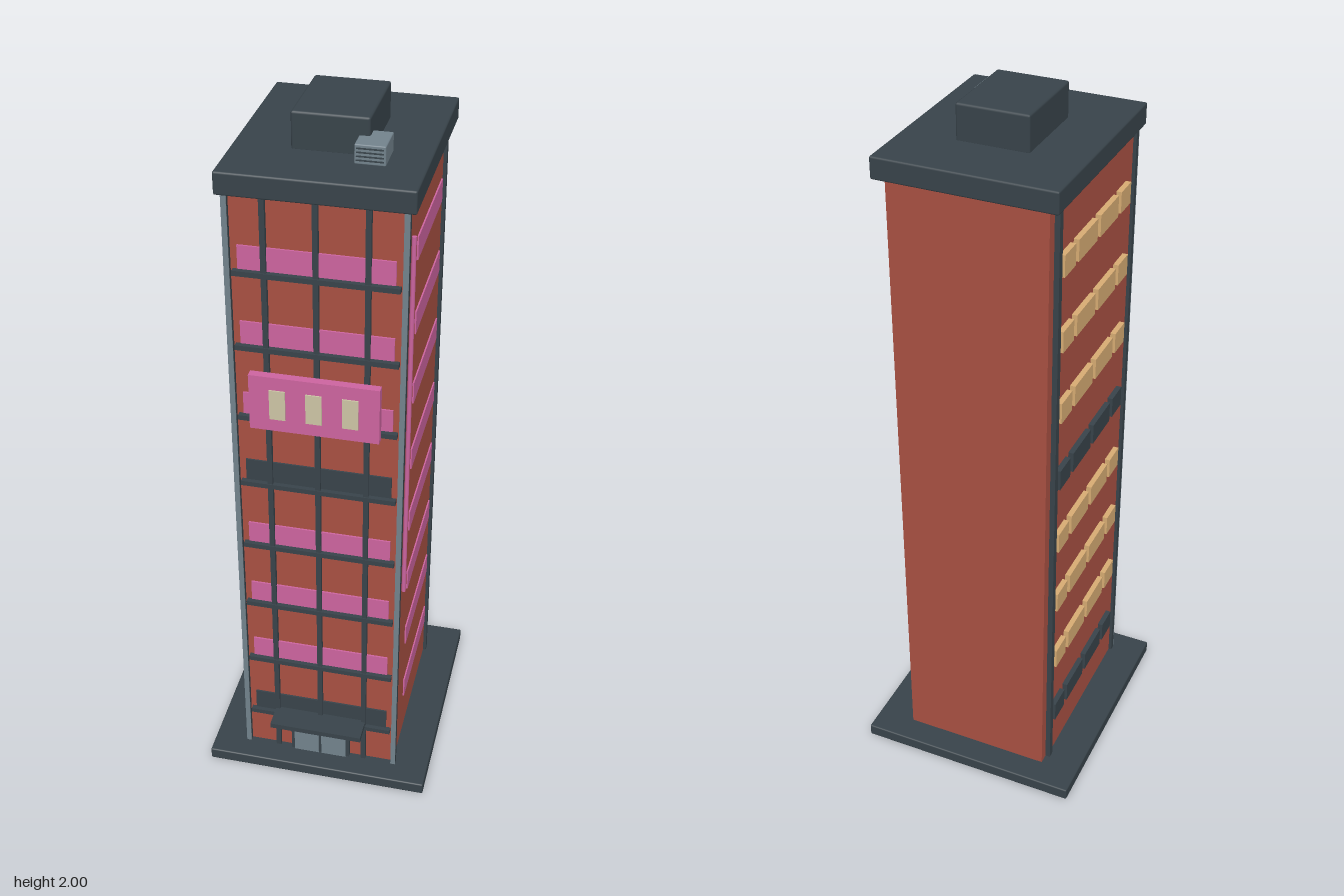
import * as THREE from 'three';
import { RoundedBoxGeometry } from 'three/addons/geometries/RoundedBoxGeometry.js';

const mat = (name, color) => Object.assign(new THREE.MeshStandardMaterial({ color }), { name });

export function createModel() {
  const brick = mat('brick', 0xa85042);
  const dark = mat('dark slate', 0x38434a);
  const pink = mat('pink glass', 0xcc649f);
  const steel = mat('steel', 0x72828c);
  const amber = mat('amber glass', 0xd6ab72);
  const cream = mat('cream', 0xccc4a4);

  const model = new THREE.Group();
  model.name = 'tower';

  // Box given by its limits on each axis; a bevel softens the big slabs
  function box(name, material, [x0, x1], [y0, y1], [z0, z1], bevel = 0) {
    const size = [x1 - x0, y1 - y0, z1 - z0];
    const geo = bevel ? new RoundedBoxGeometry(...size, 1, bevel) : new THREE.BoxGeometry(...size);
    const mesh = new THREE.Mesh(geo, material);
    mesh.name = name;
    mesh.position.set((x0 + x1) / 2, (y0 + y1) / 2, (z0 + z1) / 2);
    model.add(mesh);
    return mesh;
  }
  const around = (c, w) => [c - w / 2, c + w / 2];

  // Plinth, shaft and roof
  box('plinth', dark, [-0.325, 0.325], [0, 0.036], [-0.35, 0.35], 0.004);
  box('shaft', brick, [-0.22, 0.22], [0.03, 1.85], [-0.24, 0.272]);
  box('backWall', brick, [-0.215, 0.215], [0.03, 1.85], [-0.275, -0.24]);
  box('roofSlab', dark, [-0.245, 0.245], [1.845, 1.905], [-0.295, 0.293], 0.005);
  box('penthouse', dark, [-0.098, 0.098], [1.9, 2.0], [-0.125, 0.122], 0.006);

  // Rooftop air conditioner with slats
  box('airConditioner', steel, [0.07, 0.147], [1.905, 1.955], [0.083, 0.176], 0.003);
  for (let i = 0; i < 4; i++) {
    box('airConditionerSlat', dark, [0.075, 0.142], around(1.916 + i * 0.01, 0.003), [0.175, 0.179]);
  }

  // Corner posts, steel edged at the front
  for (const s of [-1, 1]) {
    const x = around(s * 0.222, 0.014);
    box('frontPost', dark, x, [0.03, 1.85], [0.268, 0.284]);
    box('frontPostEdge', steel, x, [0.036, 1.845], [0.284, 0.287]);
    box('backPost', dark, x, [0.03, 1.85], [-0.246, -0.227]);
  }

  // Front mullions
  for (const x of [-0.13, 0, 0.13]) {
    box('mullion', dark, around(x, 0.014), [0.036, 1.845], [0.27, 0.284]);
  }

  // Floors: front ledge and window band, then both side walls
  for (let floor = 0; floor < 8; floor++) {
    const y = 0.205 + floor * 0.2107;
    const band = around(y, 0.064);
    const unlit = floor === 0 || floor === 4;
    box('ledge', dark, [-0.21, 0.21], around(y - 0.041, 0.014), [0.27, 0.287]);
    box('frontWindow', unlit ? dark : pink, [-0.197, 0.197], band, [0.27, 0.277]);
    box('rightBand', pink, [0.218, 0.224], band, [-0.21, 0.135]);
    for (const [z0, z1] of [[-0.225, -0.155], [-0.135, -0.01], [0.01, 0.135], [0.155, 0.225]]) {
      box('sideWindow', unlit ? dark : amber, [-0.235, -0.218], around(y, 0.06), [z0, z1]);
    }
  }

  // Tall light tube on the +x wall
  const tube = new THREE.Mesh(new THREE.CylinderGeometry(0.006, 0.006, 1.1, 8), pink);
  tube.name = 'lightTube';
  tube.position.set(0.226, 1.2, 0.21);
  model.add(tube);

  // Hanging panel with three pale plates
  box('panelBracket', dark, [-0.1, 0.1], [1.26, 1.32], [0.272, 0.295]);
  box('panel', pink, [-0.17, 0.17], [1.21, 1.37], [0.292, 0.315]);
  for (const x of [-0.095, 0, 0.095]) {
    box('panelPlate', cream, around(x, 0.042), [1.247, 1.333], [0.314, 0.319]);
  }

  // Entrance: frame, two door leaves, light strip and canopy
  box('doorFrame', dark, [-0.088, 0.088], [0.036, 0.155], [0.27, 0.287]);
  for (const s of [-1, 1]) {
    box('doorLeaf', steel, around(s * 0.041, 0.074), [0.036, 0.149], [0.285, 0.291]);
  }
  box('entranceLight', pink, [-0.12, 0.12], [0.16, 0.171], [0.272, 0.292]);
  box('canopy', dark, [-0.135, 0.135], [0.17, 0.186], [0.27, 0.35]);

  return model;
}
